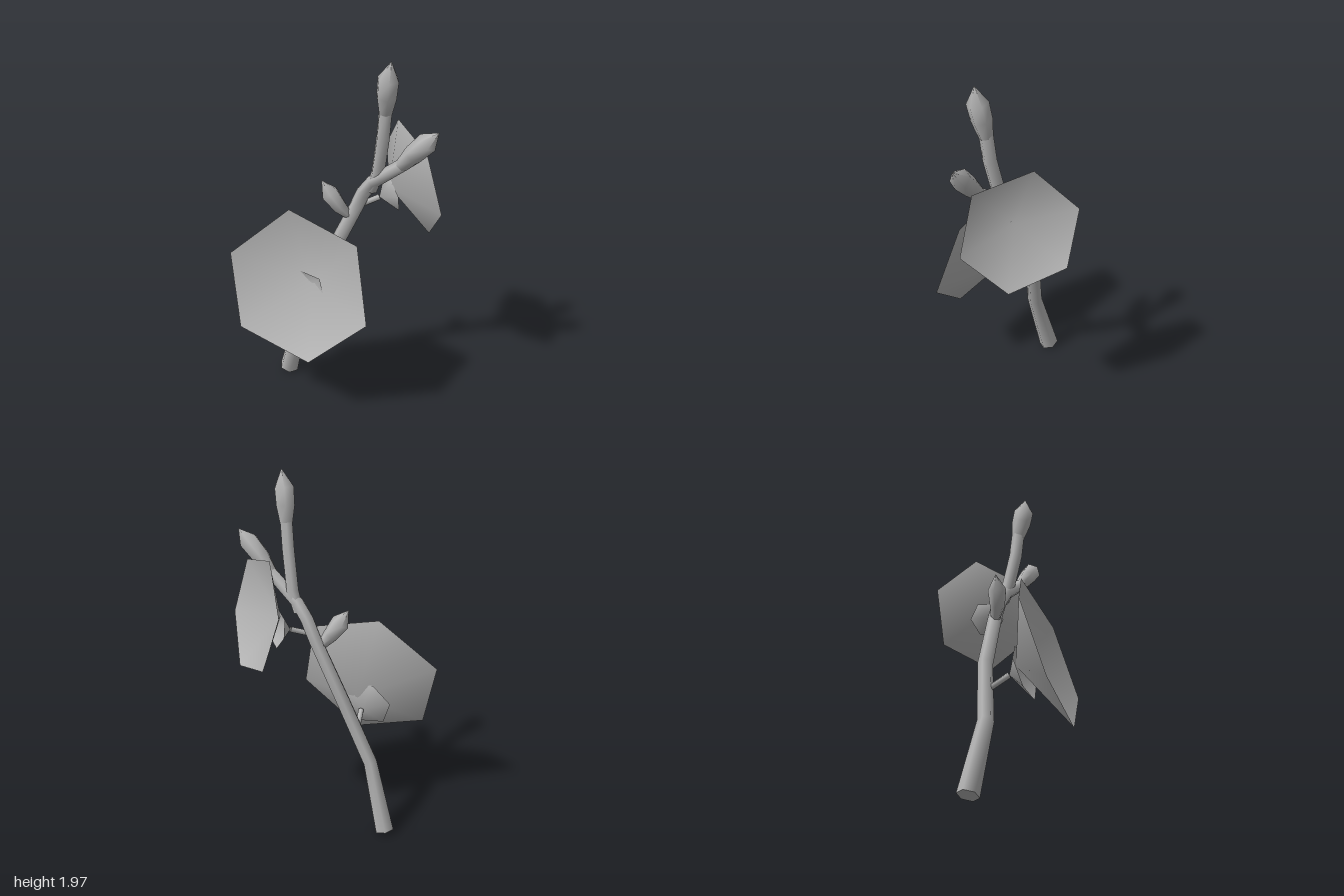
import * as THREE from 'three';

const V = (p) => new THREE.Vector3(...p);

// Smooth tube through rows of [x, y, z, radius], with a flat cap on its first end.
function limb(name, rows, material, sides = 6) {
  const pts = rows.map((r) => new THREE.Vector3(r[0], r[1], r[2]));
  const pos = [], idx = [];
  const Z = new THREE.Vector3(0, 0, 1);
  rows.forEach((r, i) => {
    const before = pts[Math.max(i - 1, 0)];
    const after = pts[Math.min(i + 1, pts.length - 1)];
    const t = after.clone().sub(before).normalize();
    const u = t.clone().cross(Z).normalize();
    const w = t.clone().cross(u);
    for (let k = 0; k < sides; k++) {
      const a = (k / sides) * Math.PI * 2;
      const p = pts[i].clone()
        .addScaledVector(u, Math.cos(a) * r[3])
        .addScaledVector(w, Math.sin(a) * r[3]);
      pos.push(p.x, p.y, p.z);
      if (i > 0) {
        const n = (k + 1) % sides, lo = (i - 1) * sides, hi = i * sides;
        idx.push(lo + k, lo + n, hi + n, lo + k, hi + n, hi + k);
      }
    }
  });
  // Separate cap ring keeps the cut edge sharp
  const cap = pos.length / 3;
  pos.push(...pos.slice(0, sides * 3));
  for (let k = 1; k < sides - 1; k++) idx.push(cap, cap + k + 1, cap + k);
  return surface(name, pos, idx, material);
}

// Open shallow cone from an apex to a ring of rim points
function cup(name, apex, rim, material) {
  const pos = [...apex, ...rim.flat()], idx = [];
  rim.forEach((_, k) => idx.push(0, 1 + k, 1 + ((k + 1) % rim.length)));
  return surface(name, pos, idx, material);
}

function surface(name, pos, idx, material) {
  const g = new THREE.BufferGeometry();
  g.setAttribute('position', new THREE.Float32BufferAttribute(pos, 3));
  g.setIndex(idx);
  g.computeVertexNormals();
  const mesh = new THREE.Mesh(g, material);
  mesh.name = name;
  return mesh;
}

// Hexagonal rim around a centre, perpendicular to an axis
function hexRim(center, axis, radius, startDeg) {
  const n = V(axis).normalize();
  const right = new THREE.Vector3(0, 1, 0).cross(n).normalize();
  const up = n.clone().cross(right);
  return Array.from({ length: 6 }, (_, k) => {
    const a = THREE.MathUtils.degToRad(startDeg + k * 60);
    return V(center)
      .addScaledVector(right, Math.cos(a) * radius)
      .addScaledVector(up, Math.sin(a) * radius)
      .toArray();
  });
}

// Blossom: stalk, small calyx and wide six-cornered petal cup
function flower(name, f, material) {
  const g = new THREE.Group();
  g.name = name;
  g.add(
    limb('stalk', [[...f.root, 0.016], [...f.calyxApex, 0.016]], material),
    cup('calyx', f.calyxApex, hexRim(f.calyxCenter, f.axis, f.calyxRadius, f.turn), material),
    cup('petals', f.petalApex, f.rim, material),
  );
  return g;
}

export function createModel() {
  const grey = new THREE.MeshStandardMaterial({ color: 0xb4b4b4, side: THREE.DoubleSide });
  grey.name = 'plain grey';

  const model = new THREE.Group();
  model.name = 'floweringBranch';

  // Main stem ending in the side bud
  model.add(limb('mainBranch', [
    [-0.37, 0.05, 0, 0.056], [-0.26, 0.44, 0.035, 0.042], [-0.13, 0.8, -0.03, 0.04],
    [0.03, 1.14, -0.048, 0.038], [0.08, 1.25, -0.045, 0.038], [0.14, 1.33, -0.035, 0.036],
    [0.31, 1.465, -0.01, 0.034],
  ], grey));
  model.add(limb('sideBud', [
    [0.305, 1.46, -0.01, 0.034], [0.37, 1.535, 0, 0.05],
    [0.445, 1.613, 0, 0.054], [0.5, 1.67, 0, 0.002],
  ], grey));

  // Upright twig with the top bud
  model.add(limb('upperTwig', [
    [0.13, 1.28, -0.04, 0.03], [0.17, 1.39, -0.03, 0.036],
    [0.208, 1.6, 0, 0.036], [0.222, 1.74, 0.01, 0.036],
  ], grey));
  model.add(limb('topBud', [
    [0.222, 1.73, 0.01, 0.036], [0.233, 1.82, 0.025, 0.054],
    [0.246, 1.91, 0.038, 0.056], [0.262, 2.0, 0.042, 0.002],
  ], grey));

  // Small bud growing straight from the stem
  model.add(limb('smallBud', [
    [0.01, 1.1, -0.04, 0.02], [-0.035, 1.165, -0.005, 0.04],
    [-0.085, 1.24, 0.015, 0.05], [-0.125, 1.308, 0.025, 0.002],
  ], grey));

  model.add(flower('frontFlower', {
    root: [-0.19, 0.63, 0.01], calyxApex: [-0.165, 0.7, 0.118],
    calyxCenter: [-0.16, 0.7, 0.2], axis: [0.02, 0.24, 0.97], calyxRadius: 0.145, turn: 50,
    petalApex: [-0.13, 0.76, 0.14],
    rim: [
      [-0.22, 1.2, 0.21], [-0.52, 0.93, 0.322], [-0.42, 0.55, 0.415],
      [-0.02, 0.43, 0.4], [0.28, 0.7, 0.325], [0.18, 1.09, 0.23],
    ],
  }, grey));

  model.add(flower('backFlower', {
    root: [0.06, 1.175, -0.05], calyxApex: [0.14, 1.21, -0.118],
    calyxCenter: [0.187, 1.22, -0.168], axis: [0.65, 0.21, -0.73], calyxRadius: 0.1, turn: 50,
    petalApex: [0.19, 1.275, -0.13],
    rim: [
      [0.185, 1.61, -0.24], [0.425, 1.53, -0.05], [0.52, 1.22, -0.04],
      [0.385, 1.0, -0.23], [0.14, 1.09, -0.415], [0.045, 1.39, -0.415],
    ],
  }, grey));

  return model;
}
